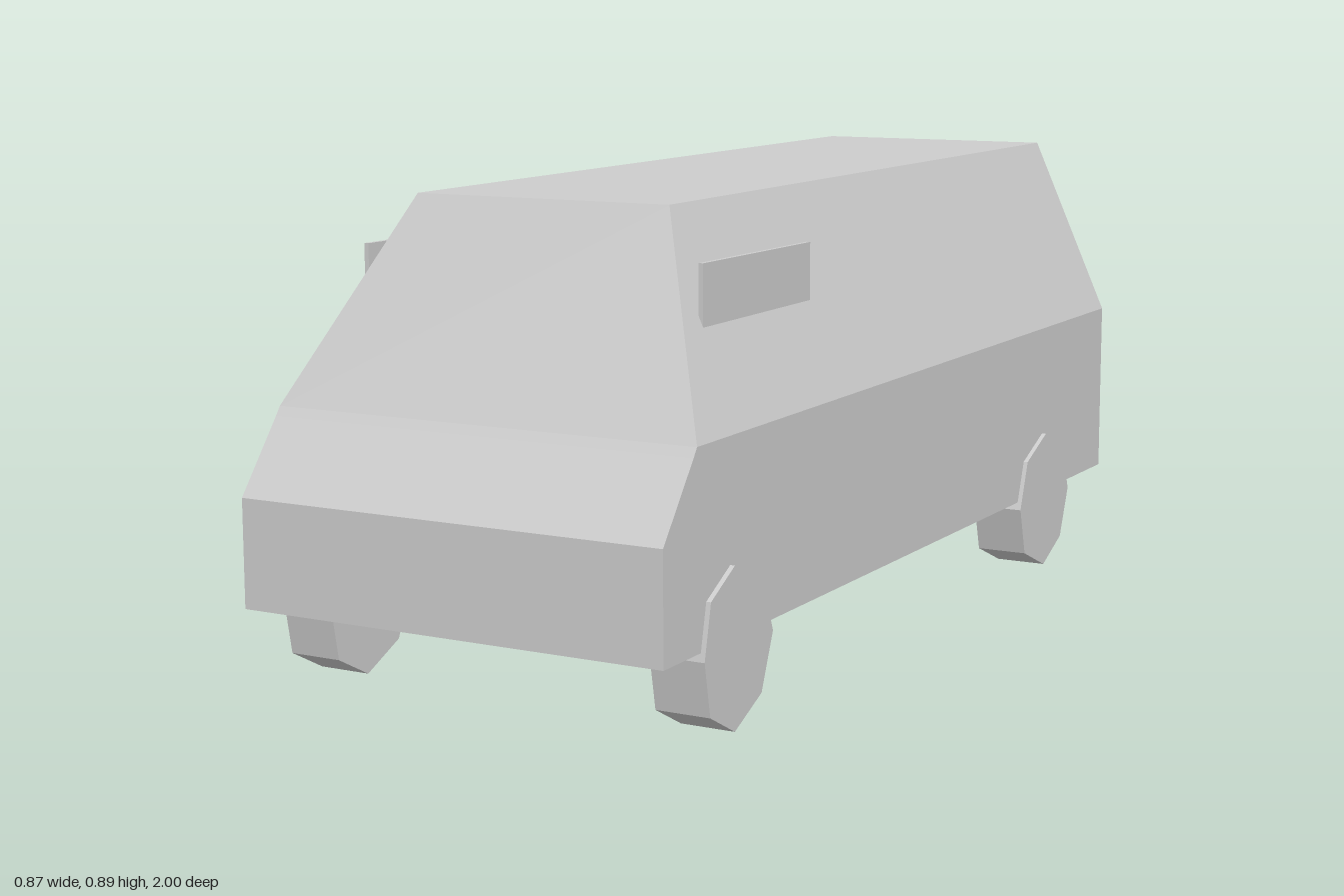
import * as THREE from 'three';

// Body levels, bottom to top: half width, front z, front y, rear y
const LEVELS = [
  [0.425, 1.0, 0.16, 0.16],
  [0.425, 1.0, 0.36, 0.36],
  [0.425, 0.9, 0.49, 0.49],
  [0.425, 0.888, 0.507, 0.52],
  [0.26, 0.687, 0.878, 0.89],
];
const REAR_Z = -1;

// Wheel outlines as (z offset, y) corners
const FRONT_WHEEL = [[0.105, 0.145], [0.083, 0.243], [0, 0.288], [-0.101, 0.243],
  [-0.139, 0.145], [-0.097, 0.044], [0, 0], [0.086, 0.046]];
const REAR_WHEEL = [[0.139, 0.145], [0.103, 0.243], [0, 0.288], [-0.104, 0.243],
  [-0.139, 0.145], [-0.097, 0.044], [0, 0], [0.111, 0.046]];

// Faceted shell lofted through four-cornered rings
function bodyGeometry() {
  const rings = LEVELS.map(([w, z, yFront, yRear]) => [
    [w, yFront, z], [-w, yFront, z], [-w, yRear, REAR_Z], [w, yRear, REAR_Z],
  ]);
  const positions = [];
  const quad = (a, b, c, d) => positions.push(...a, ...b, ...c, ...a, ...c, ...d);
  for (let r = 0; r < rings.length - 1; r++) {
    const lo = rings[r], hi = rings[r + 1];
    for (let i = 0; i < 4; i++) {
      const j = (i + 1) % 4;
      quad(lo[j], lo[i], hi[i], hi[j]);
    }
  }
  const floor = rings[0], roof = rings[rings.length - 1];
  quad(floor[0], floor[1], floor[2], floor[3]);
  quad(roof[1], roof[0], roof[3], roof[2]);
  const geometry = new THREE.BufferGeometry();
  geometry.setAttribute('position', new THREE.Float32BufferAttribute(positions, 3));
  geometry.computeVertexNormals();
  return geometry;
}

// Eight-sided wheel with its axle along x, centred on x = 0
function wheelGeometry(outline) {
  const shape = new THREE.Shape(outline.map(([z, y]) => new THREE.Vector2(z, y)));
  const width = 0.105;
  return new THREE.ExtrudeGeometry(shape, { depth: width, bevelEnabled: false })
    .rotateY(-Math.PI / 2)
    .translate(width / 2, 0, 0);
}

export function createModel() {
  const group = new THREE.Group();
  const grey = new THREE.MeshStandardMaterial({ color: 0xcccccc });
  grey.name = 'light grey';

  const add = (name, geometry, x, y, z) => {
    const mesh = new THREE.Mesh(geometry, grey);
    mesh.name = name;
    mesh.position.set(x, y, z);
    group.add(mesh);
  };

  add('body', bodyGeometry(), 0, 0, 0);

  const frontWheel = wheelGeometry(FRONT_WHEEL);
  const rearWheel = wheelGeometry(REAR_WHEEL);
  const mirror = new THREE.BoxGeometry(0.009, 0.11, 0.4);

  // Wheels and long side mirrors on both sides
  for (const [side, s] of [['left', 1], ['right', -1]]) {
    add(`${side}FrontWheel`, frontWheel, s * 0.3815, 0, 0.775);
    add(`${side}RearWheel`, rearWheel, s * 0.3815, 0, -0.642);
    add(`${side}Mirror`, mirror, s * 0.3445, 0.732, 0.53);
  }
  return group;
}
